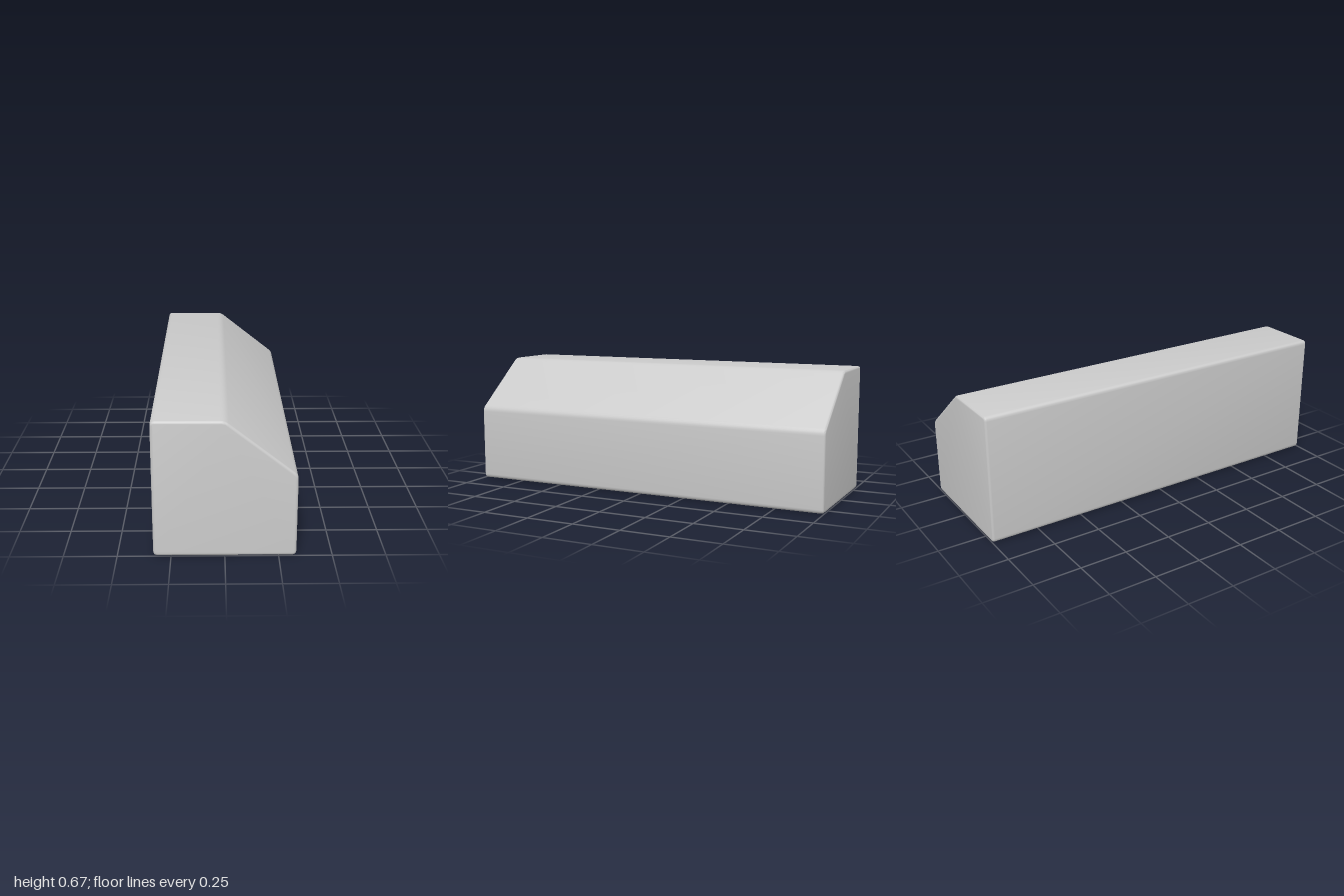
import * as THREE from 'three';
import { toCreasedNormals } from 'three/addons/utils/BufferGeometryUtils.js';

// Closed polygon with each corner softened by a short curve
function roundedPolygon(points, cut) {
  const pts = points.map(([x, y]) => new THREE.Vector2(x, y));
  const toward = (a, b) => a.clone().add(b.clone().sub(a).setLength(cut));
  const shape = new THREE.Shape();
  pts.forEach((p, i) => {
    const start = toward(p, pts[(i + pts.length - 1) % pts.length]);
    const end = toward(p, pts[(i + 1) % pts.length]);
    if (i === 0) shape.moveTo(start.x, start.y);
    else shape.lineTo(start.x, start.y);
    shape.quadraticCurveTo(p.x, p.y, end.x, end.y);
  });
  shape.closePath();
  return shape;
}

export function createModel() {
  const group = new THREE.Group();
  group.name = 'chamferedBlock';

  // Square section with one sloped upper corner, all edges softly bevelled
  const half = 1 / 3;
  const section = roundedPolygon(
    [[-half, 0], [half, 0], [half, 0.405], [0, 0.667], [-half, 0.667]], 0.022);

  const bevel = 0.012;
  const length = 2;
  const geometry = new THREE.ExtrudeGeometry(section, {
    depth: length - 2 * bevel,
    curveSegments: 4,
    bevelEnabled: true,
    bevelThickness: bevel,
    bevelSize: bevel,
    bevelOffset: -bevel,
    bevelSegments: 3,
  });
  geometry.translate(0, 0, bevel - length / 2);

  const body = new THREE.Mesh(
    toCreasedNormals(geometry, 0.6),
    new THREE.MeshStandardMaterial({ color: 0xcccccc }));
  body.name = 'body';
  group.add(body);
  return group;
}
